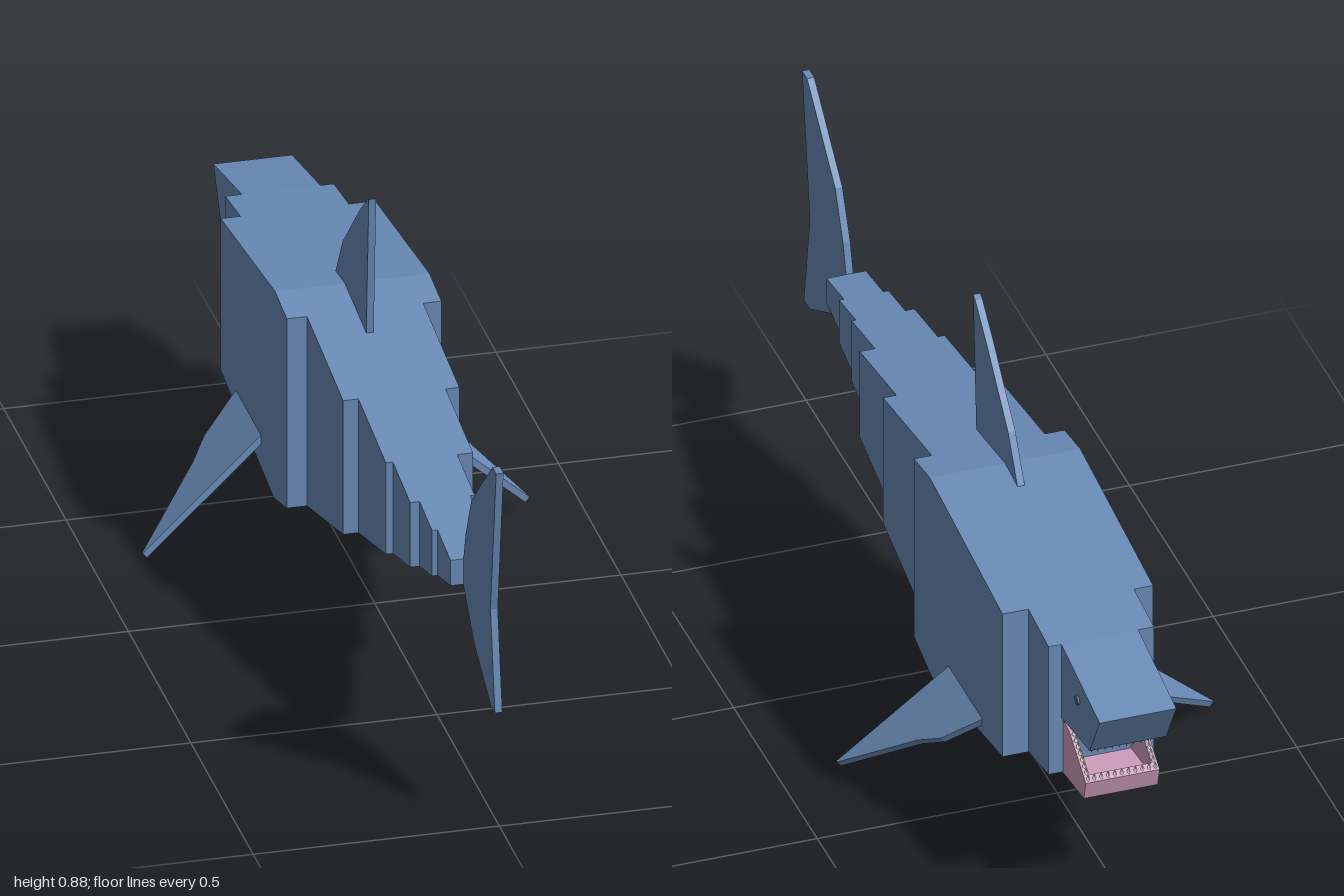
import * as THREE from 'three';

const mat = (name, color, side = THREE.FrontSide) => {
  const m = new THREE.MeshStandardMaterial({ color, side });
  m.name = name;
  return m;
};

export function createModel() {
  const shark = new THREE.Group();
  shark.name = 'shark';
  const skin = mat('skinBlue', 0x6a8cb8);
  const pink = mat('jawPink', 0xd2a0c0);
  const eyeGrey = mat('eyeGrey', 0x55657d);
  const toothWhite = mat('toothWhite', 0xe4e4e0);

  const add = (name, geometry, material, parent = shark) => {
    const mesh = new THREE.Mesh(geometry, material);
    mesh.name = name;
    parent.add(mesh);
    return mesh;
  };
  const extrude = (points, depth) => new THREE.ExtrudeGeometry(
    new THREE.Shape(points.map(([x, y]) => new THREE.Vector2(x, y))),
    { depth, bevelEnabled: false });
  // Side profile of [z, y] points, extruded across x from x0 to x1
  const slab = (name, points, x0, x1, material, parent) =>
    add(name, extrude(points, x1 - x0).rotateY(-Math.PI / 2).translate(x1, 0, 0), material, parent);

  // Body: stepped slices that follow one long side profile
  const backLine = [[-0.77, 0.535], [-0.215, 0.603], [0.735, 0.462]];
  const bellyLine = [[-0.77, 0.235], [-0.225, 0.142], [0.735, 0.406]];
  const heightAt = (line, z) => {
    const i = z < line[1][0] ? 0 : 1;
    const [[z0, y0], [z1, y1]] = [line[i], line[i + 1]];
    return y0 + (y1 - y0) * (z - z0) / (z1 - z0);
  };
  const body = new THREE.Group();
  body.name = 'body';
  shark.add(body);
  const slices = [ // z from, z to, x from, x to
    [-0.77, -0.65, -0.108, 0.112],
    [-0.65, -0.12, -0.148, 0.166],
    [-0.12, 0.17, -0.107, 0.129],
    [0.17, 0.39, -0.076, 0.101],
    [0.39, 0.53, -0.062, 0.069],
    [0.53, 0.63, -0.043, 0.06],
    [0.63, 0.735, -0.032, 0.05],
  ];
  slices.forEach(([z0, z1, x0, x1], i) => {
    const edge = line => [[z0, heightAt(line, z0)],
      ...line.filter(([z]) => z > z0 && z < z1), [z1, heightAt(line, z1)]];
    slab(`bodySlice${i + 1}`, [...edge(bellyLine), ...edge(backLine).reverse()], x0, x1, skin, body);
  });

  // Head: two cheeks around a snout that is hollow underneath
  const head = new THREE.Group();
  head.name = 'head';
  shark.add(head);
  const L = 0.085, R = -0.075, wall = 0.012;
  const cheek = [[-0.77, 0.535], [-0.998, 0.49], [-0.938, 0.388], [-0.77, 0.362]];
  slab('leftCheek', cheek, L - wall, L, skin, head);
  slab('rightCheek', cheek, R, R + wall, skin, head);
  slab('snout', [[-0.77, 0.535], [-0.998, 0.49], [-0.938, 0.388], [-0.922, 0.386],
    [-0.94, 0.425], [-0.77, 0.41]], R + wall, L - wall, skin, head);

  // Lower jaw: an open tray
  const jaw = new THREE.Group();
  jaw.name = 'lowerJaw';
  shark.add(jaw);
  const jawL = 0.082, jawR = -0.072;
  const jawSide = [[-0.765, 0.233], [-0.895, 0.249], [-0.907, 0.292], [-0.81, 0.352], [-0.765, 0.361]];
  slab('leftJawSide', jawSide, jawL - wall, jawL, pink, jaw);
  slab('rightJawSide', jawSide, jawR, jawR + wall, pink, jaw);
  slab('jawFloor', [[-0.765, 0.233], [-0.895, 0.249], [-0.907, 0.292], [-0.892, 0.301],
    [-0.882, 0.272], [-0.765, 0.26]], jawR + wall, jawL - wall, pink, jaw);

  // Teeth: small cones in rows along the jaw rims
  const teeth = new THREE.Group();
  teeth.name = 'teeth';
  shark.add(teeth);
  const toothRow = (name, from, to, count, down) => {
    const a = new THREE.Vector3(...from), b = new THREE.Vector3(...to);
    for (let i = 0; i < count; i++) {
      const tooth = add(name, new THREE.ConeGeometry(0.005, 0.014, 4), toothWhite, teeth);
      tooth.position.lerpVectors(a, b, i / (count - 1));
      if (down) tooth.rotation.x = Math.PI;
    }
  };
  for (const x of [L - 0.007, R + 0.007]) {
    toothRow('upperTooth', [x, 0.369, -0.8], [x, 0.384, -0.93], 10, true);
  }
  for (const x of [jawL - 0.007, jawR + 0.007]) {
    toothRow('lowerTooth', [x, 0.355, -0.815], [x, 0.3, -0.9], 8, false);
  }
  toothRow('upperFrontTooth', [R + 0.02, 0.384, -0.93], [L - 0.02, 0.384, -0.93], 9, true);
  toothRow('lowerFrontTooth', [jawR + 0.02, 0.3, -0.9], [jawL - 0.02, 0.3, -0.9], 9, false);

  // Eyes
  for (const [name, x] of [['leftEye', L], ['rightEye', R]]) {
    add(name, new THREE.CylinderGeometry(0.01, 0.01, 0.009, 12).rotateZ(Math.PI / 2), eyeGrey)
      .position.set(x, 0.466, -0.87);
  }

  // Upright fins
  slab('dorsalFin', [[-0.045, 0.55], [-0.024, 0.882], [-0.037, 0.876], [-0.105, 0.815],
    [-0.233, 0.687], [-0.295, 0.585], [-0.29, 0.55]], -0.006, 0.009, skin);
  slab('tailFin', [[0.998, 0.779], [0.968, 0.779], [0.8, 0.625], [0.753, 0.525], [0.735, 0.462],
    [0.735, 0.405], [0.82, 0.318], [0.955, 0.246], [0.988, 0.246], [0.952, 0.457]],
    -0.006, 0.009, skin);

  // Side fins: swept plates that slope down from the flanks
  const sideFin = (name, side, x, y, angle, length) => {
    const outline = [[-0.05, -0.53], [0, -0.53], [length * 0.31, -0.482], [length * 0.45, -0.435],
      [length, -0.306], [length, -0.302], [0, -0.327], [-0.05, -0.332]];
    const fin = add(name, extrude(outline.map(([s, z]) => [s * side, z]), 0.014)
      .rotateX(Math.PI / 2), skin);
    fin.rotation.z = -side * angle;
    fin.position.set(x, y, 0);
  };
  sideFin('leftSideFin', 1, 0.166, 0.229, 0.70, 0.295);
  sideFin('rightSideFin', -1, -0.148, 0.23, 0.723, 0.329);

  return shark;
}
